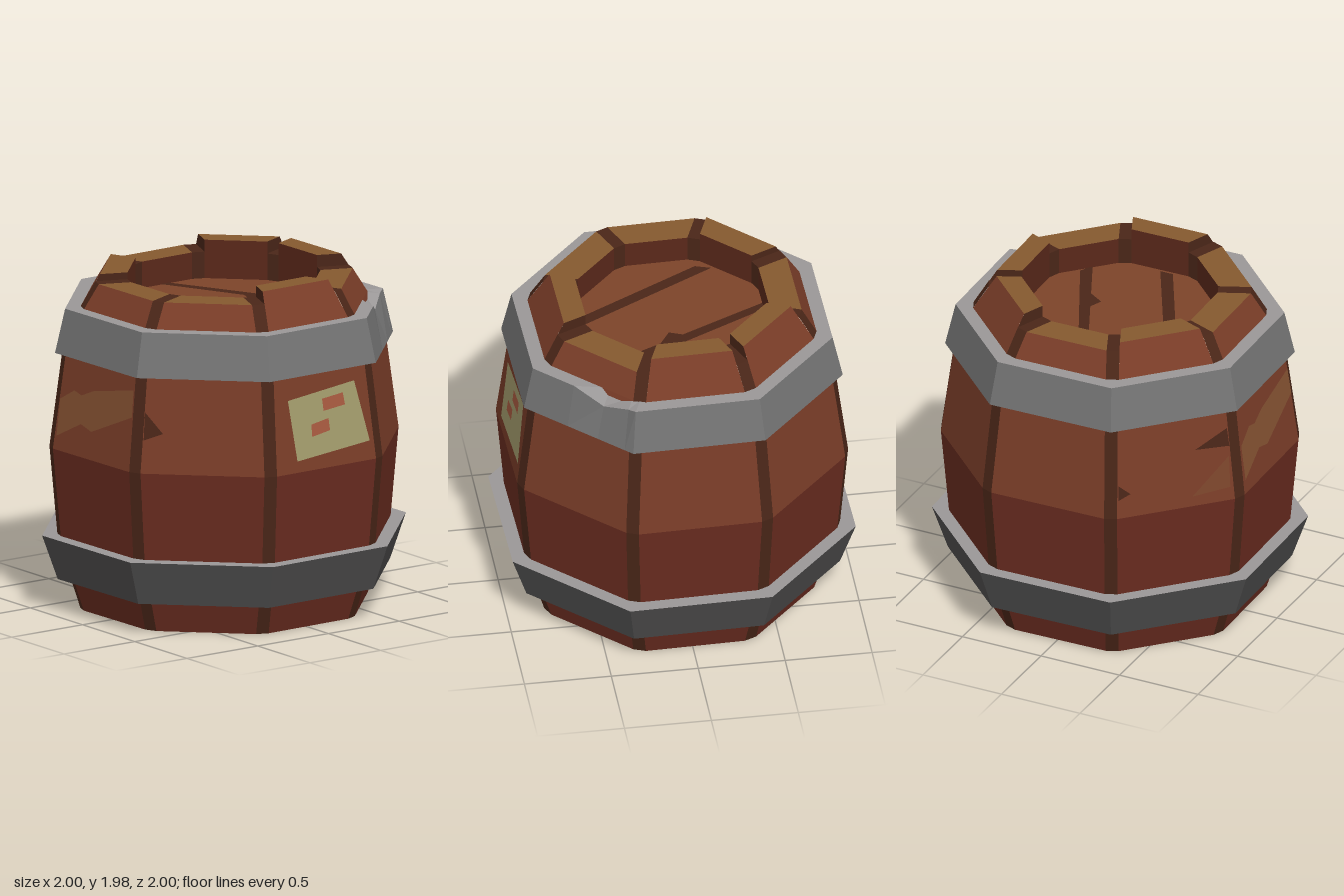
import * as THREE from 'three';

const TURN = THREE.MathUtils.degToRad(1.2); // the barrel stands slightly turned
const STEP = Math.PI / 4;
const TAN = Math.tan(Math.PI / 8);
const LID_Y = 1.75, INNER = 0.53, FOOT_INNER = 0.61;

// Stave profile: [distance from axis to the flat, height]
const LOWER = [[0.787, 0], [0.842, 0.185], [0.912, 0.445], [0.955, 0.96]];
const UPPER = [[0.955, 0.96], [0.885, 1.51], [0.785, 1.765], [0.705, 1.905]];
const TOPS = [1.905, 1.905, 1.97, 1.905, 1.975, 1.975, 1.905, 1.945]; // counted from the front via the left
const topRadius = (y) => 0.705 - (y - 1.905) * 0.62;

const COLORS = {
  upper: 0x7a3d28, lower: 0x6a2c20, seam: 0x4a2618, top: 0x85592f, inner: 0x5a281a,
  foot: 0x3a1f14, floor: 0x35190f, lid: 0x7c4429, hoop: 0x747474, hoopLow: 0x504f4f, rim: 0x9a9797,
  label: 0xa39c6c, print: 0xa85a40, scratch: 0x855232,
};

// Point on flat k: a from the axis, s along the flat, y up
function at(k, a, s, y) {
  const t = k * STEP + TURN;
  return new THREE.Vector3(a * Math.sin(t) + s * Math.cos(t), y, a * Math.cos(t) - s * Math.sin(t));
}
const halfWidth = (a) => a * TAN - 0.04;
const edge = (k, [a, y], side) => at(k, a, side * halfWidth(a), y);

function material(color) {
  return new THREE.MeshStandardMaterial({ color, flatShading: true });
}

function addMesh(group, name, geometry, color) {
  const mesh = new THREE.Mesh(geometry, material(color));
  mesh.name = name;
  group.add(mesh);
  return mesh;
}

// Flat-shaded mesh from quads given as [a, b, c, d], counter-clockwise
function addQuads(group, name, quads, color) {
  const points = quads.flatMap(([a, b, c, d]) => [a, b, c, a, c, d]);
  const geometry = new THREE.BufferGeometry().setFromPoints(points);
  geometry.computeVertexNormals();
  return addMesh(group, name, geometry, color);
}

// Quads following a profile across one stave, or across the seam to its right
function strip(k, profile, seam = false) {
  const quads = [];
  for (let i = 0; i + 1 < profile.length; i++) {
    const p = profile[i], q = profile[i + 1];
    const right = (v) => (seam ? edge(k + 1, v, -1) : edge(k, v, 1));
    const left = (v) => edge(k, v, seam ? 1 : -1);
    quads.push([left(p), right(p), right(q), left(q)]);
  }
  return quads;
}

function addStave(group, k) {
  const h = TOPS[k], r = topRadius(h);
  const stave = new THREE.Group();
  stave.name = 'stave';
  const outer = [...UPPER.slice(0, -1), [r, h]];
  addQuads(stave, 'staveLower', strip(k, LOWER), COLORS.lower);
  addQuads(stave, 'staveUpper', strip(k, outer), COLORS.upper);
  addQuads(stave, 'staveTop', strip(k, [[r, h], [INNER, h]]), COLORS.top);
  addQuads(stave, 'staveInside', strip(k, [[INNER, h], [INNER, LID_Y]]), COLORS.inner);
  addQuads(stave, 'staveFoot', strip(k, [[FOOT_INNER, 0], LOWER[0]]), COLORS.foot);
  addQuads(stave, 'staveFootInside', strip(k, [[FOOT_INNER, 0.2], [FOOT_INNER, 0]]), COLORS.lower);
  // Ends of the staves that rise above the seams
  if (h > 1.91) {
    const base = [[0.705, 1.9], [INNER, 1.9], [INNER, h], [r, h]];
    const ends = [base.map((p) => edge(k, p, 1)), base.map((p) => edge(k, p, -1)).reverse()];
    addQuads(stave, 'staveEnds', ends, COLORS.seam);
  }
  group.add(stave);
}

function addSeam(group, k) {
  const profile = [[FOOT_INNER, 0.2], [FOOT_INNER, 0], ...LOWER, ...UPPER.slice(1),
    [INNER, 1.905], [INNER, LID_Y]];
  addQuads(group, 'seam', strip(k, profile, true), COLORS.seam);
}

// Hoop: flared outer face with flat upper and lower rims reaching the staves
function addHoop(group, name, low, high, inLow, inHigh, color, dent) {
  const hoop = new THREE.Group();
  hoop.name = name;
  const outer = [], rims = [];
  for (let k = 0; k < 8; k++) {
    const stops = dent && k === dent.flat ? dent.stops : [[-1, 0, 0], [1, 0, 0]];
    const point = ([a, y], [t, inward, drop]) => at(k, a - inward, t * a * TAN, y - drop);
    for (let i = 0; i + 1 < stops.length; i++) {
      const s = stops[i], e = stops[i + 1];
      const s0 = [s[0], 0, 0], e0 = [e[0], 0, 0];
      outer.push([point(low, s0), point(low, e0), point(high, e), point(high, s)]);
      rims.push([point(high, s), point(high, e), point([inHigh, high[1]], e0), point([inHigh, high[1]], s0)]);
      rims.push([point([inLow, low[1]], s0), point([inLow, low[1]], e0), point(low, e0), point(low, s0)]);
    }
  }
  addQuads(hoop, 'hoopFace', outer, color);
  addQuads(hoop, 'hoopRims', rims, COLORS.rim);
  group.add(hoop);
}

// Flat patch lying on the upper half of stave k, points are [s, y]
function addPatch(group, name, k, points, color, lift = 0.004) {
  const geometry = new THREE.ShapeGeometry(new THREE.Shape(points.map(([s, y]) => new THREE.Vector2(s, y))));
  const pos = geometry.attributes.position;
  for (let i = 0; i < pos.count; i++) {
    const y = pos.getY(i);
    const a = THREE.MathUtils.mapLinear(y, 0.96, 1.51, 0.955, 0.885) + lift;
    const p = at(k, a, pos.getX(i), y);
    pos.setXYZ(i, p.x, p.y, p.z);
  }
  geometry.computeVertexNormals();
  addMesh(group, name, geometry, color);
}

// Flat patch lying on the lid, points are [x, z]
function addLidMark(group, name, points) {
  const shape = new THREE.Shape(points.map(([x, z]) => new THREE.Vector2(x, -z)));
  const geometry = new THREE.ShapeGeometry(shape).rotateX(-Math.PI / 2).translate(0, LID_Y + 0.004, 0);
  addMesh(group, name, geometry, COLORS.seam);
}

export function createModel() {
  const barrel = new THREE.Group();
  barrel.name = 'barrel';

  for (let k = 0; k < 8; k++) {
    addStave(barrel, k);
    addSeam(barrel, k);
  }

  // Lid and floor
  const corner = Math.PI / 8 + TURN;
  const round = 1 / Math.cos(Math.PI / 8);
  addMesh(barrel, 'lid', new THREE.CircleGeometry(INNER * round, 8, corner)
    .rotateX(-Math.PI / 2).translate(0, LID_Y, 0), COLORS.lid);
  addMesh(barrel, 'floor', new THREE.CircleGeometry(FOOT_INNER * round, 8, -corner)
    .rotateX(Math.PI / 2).translate(0, 0.2, 0), COLORS.floor);
  addLidMark(barrel, 'lidGap', [[-0.53, 0.06], [-0.53, 0], [0.31, -0.41], [0.39, -0.37]]);
  addLidMark(barrel, 'lidGap', [[-0.29, 0.43], [0.51, 0], [0.51, 0.08], [-0.2, 0.46]]);
  addLidMark(barrel, 'lidChip', [[-0.06, -0.18], [0.11, -0.25], [0.04, -0.14]]);

  // Hoops, the upper one with a bent-in spot at the back
  addHoop(barrel, 'lowerHoop', [0.905, 0.185], [0.99, 0.445], 0.82, 0.88, COLORS.hoopLow);
  addHoop(barrel, 'upperHoop', [0.92, 1.51], [0.865, 1.765], 0.86, 0.76, COLORS.hoop, {
    flat: 3,
    stops: [[-1, 0, 0], [-0.2, 0, 0], [0.35, 0.015, 0.07], [0.84, 0.01, 0.015], [1, 0, 0]],
  });

  // Paper label with two printed marks
  addPatch(barrel, 'label', 2, [[-0.24, 1.376], [0.24, 1.425], [0.318, 1.07], [-0.205, 1.025]], COLORS.label);
  addPatch(barrel, 'labelMark', 2, [[0, 1.355], [0.15, 1.37], [0.16, 1.3], [0.005, 1.285]], COLORS.print, 0.008);
  addPatch(barrel, 'labelMark', 2, [[-0.09, 1.22], [0.035, 1.24], [0.04, 1.17], [-0.09, 1.15]], COLORS.print, 0.008);

  // Scratch and chipped edges
  addPatch(barrel, 'scratch', 0, [[0.325, 1.425], [-0.04, 1.35], [-0.14, 1.307], [-0.21, 1.323], [-0.33, 1.253],
    [-0.33, 1.04], [-0.12, 1.146], [-0.02, 1.12], [0.335, 1.27]], COLORS.scratch);
  addPatch(barrel, 'scratchTail', 7, [[0.33, 1.23], [0.1, 1.02], [0.33, 1.04]], 0x7c452b);
  addPatch(barrel, 'chip', 7, [[0.13, 1.3], [0.325, 1.4], [0.335, 1.29]], COLORS.seam);
  addPatch(barrel, 'chip', 7, [[-0.34, 1.16], [-0.27, 1.1], [-0.345, 1.07]], COLORS.seam);
  addPatch(barrel, 'chip', 1, [[-0.335, 1.31], [-0.23, 1.19], [-0.34, 1.15]], COLORS.seam);

  return barrel;
}
